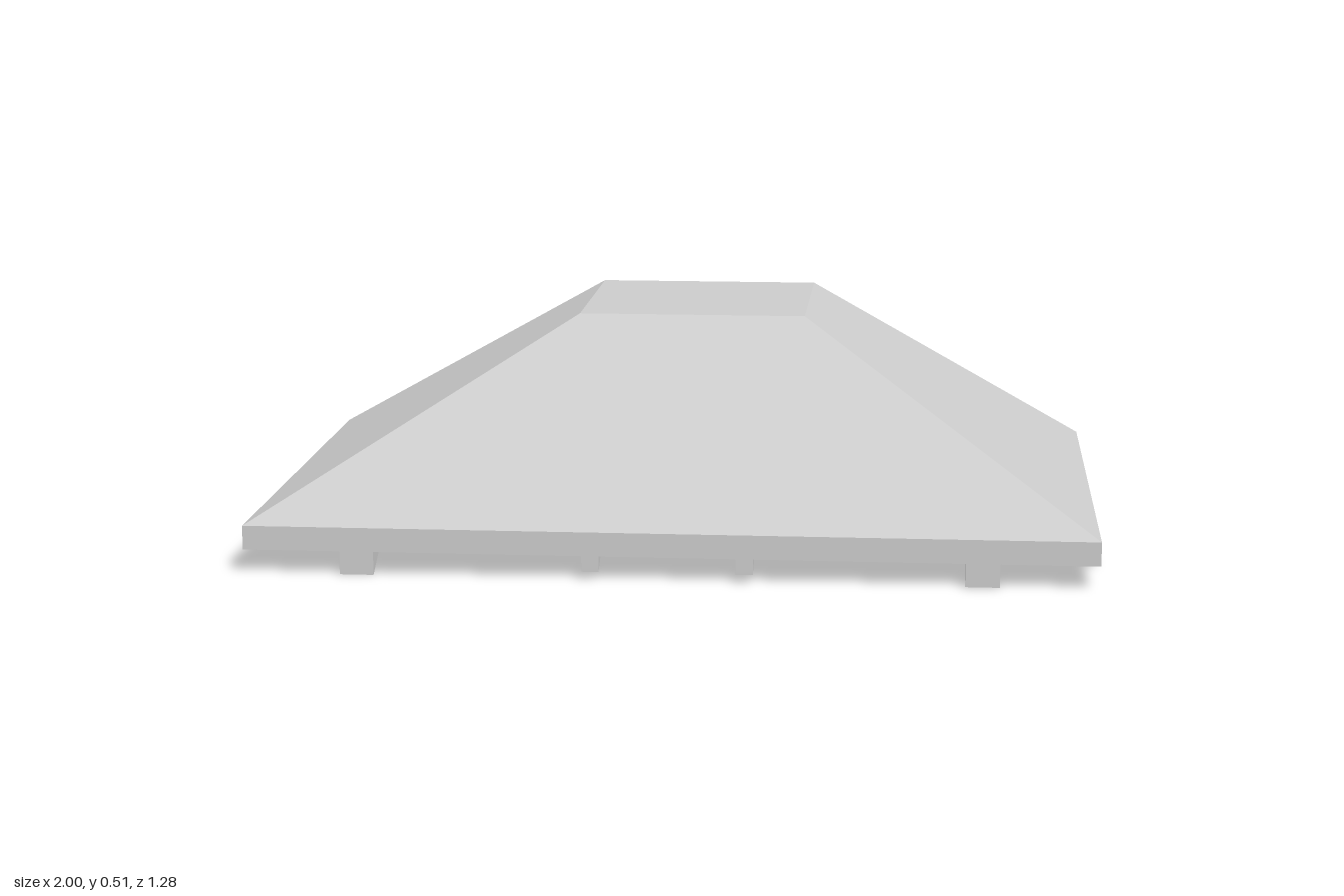
import * as THREE from 'three';

const HALF_X = 1, HALF_Z = 0.64;        // eave outline
const RIDGE_X = 0.285, RIDGE_Z = -0.07; // flat top outline
const EAVE = 0.055, TOP = 0.455;        // underside heights
const THICK = 0.057;                    // vertical shell thickness

const material = new THREE.MeshStandardMaterial({ color: 0xcccccc, flatShading: true });

function addMesh(parent, name, geometry) {
  const mesh = new THREE.Mesh(geometry, material);
  mesh.name = name;
  parent.add(mesh);
  return mesh;
}

// Hipped shell, open at the back
function shellGeometry() {
  const outline = (x, zFront, y) => [
    [-x, y, -HALF_Z], [-x, y, zFront], [x, y, zFront], [x, y, -HALF_Z],
  ];
  const eaveLow = outline(HALF_X, HALF_Z, EAVE);
  const eaveTop = outline(HALF_X, HALF_Z, EAVE + THICK);
  const ridgeLow = outline(RIDGE_X, RIDGE_Z, TOP);
  const ridgeTop = outline(RIDGE_X, RIDGE_Z, TOP + THICK);
  const pos = [];
  const quad = (a, b, c, d) => pos.push(...a, ...b, ...c, ...a, ...c, ...d);

  for (let i = 0; i < 3; i++) {
    const j = i + 1;
    quad(eaveTop[i], eaveTop[j], ridgeTop[j], ridgeTop[i]); // slope
    quad(eaveLow[j], eaveLow[i], ridgeLow[i], ridgeLow[j]); // slope underside
    quad(eaveLow[i], eaveLow[j], eaveTop[j], eaveTop[i]);   // fascia
  }
  quad(...ridgeTop);
  quad(...[...ridgeLow].reverse());

  // Rim of the open back
  const low = [eaveLow[3], ridgeLow[3], ridgeLow[0], eaveLow[0]];
  const top = [eaveTop[3], ridgeTop[3], ridgeTop[0], eaveTop[0]];
  for (let i = 0; i < 3; i++) quad(low[i], low[i + 1], top[i + 1], top[i]);

  const geometry = new THREE.BufferGeometry();
  geometry.setAttribute('position', new THREE.Float32BufferAttribute(pos, 3));
  geometry.computeVertexNormals();
  return geometry;
}

// Rafter hanging below a path of [distance, height] points
function rafterGeometry(path, width, drop) {
  const below = path.map(([u, y]) => [u, y - drop]).reverse();
  const shape = new THREE.Shape([...path, ...below].map(([u, y]) => new THREE.Vector2(u, y)));
  return new THREE.ExtrudeGeometry(shape, { depth: width, bevelEnabled: false })
    .translate(0, 0, -width / 2);
}

// Plate beam running round the three closed sides, inset from the eave
function plateRing(name, inner, outer, y0, y1) {
  const ring = new THREE.Group();
  ring.name = name;
  const w = inner - outer, h = y1 - y0, y = (y0 + y1) / 2;
  addMesh(ring, name + 'Front', new THREE.BoxGeometry(2 * (HALF_X - outer), h, w))
    .position.set(0, y, HALF_Z - (inner + outer) / 2);
  const zFront = HALF_Z - inner, zBack = -HALF_Z + 0.02;
  for (const s of [-1, 1]) {
    addMesh(ring, name + 'Side', new THREE.BoxGeometry(w, h, zFront - zBack))
      .position.set(s * (HALF_X - (inner + outer) / 2), y, (zFront + zBack) / 2);
  }
  return ring;
}

export function createModel() {
  const model = new THREE.Group();
  model.name = 'hippedRoof';
  addMesh(model, 'roofShell', shellGeometry());

  const rafters = new THREE.Group();
  rafters.name = 'rafters';
  model.add(rafters);

  // Cross rafters from side eave to side eave
  const crossPath = [[-HALF_X, EAVE], [-RIDGE_X, TOP], [RIDGE_X, TOP], [HALF_X, EAVE]];
  for (const z of [-0.17, -0.54]) {
    addMesh(rafters, 'crossRafter', rafterGeometry(crossPath, 0.04, 0.037)).position.z = z;
  }

  // Long rafters from the front eave to the open back
  const longPath = [[HALF_Z, EAVE], [RIDGE_Z, TOP], [-HALF_Z, TOP]];
  for (const x of [-0.18, 0.18]) {
    const rafter = addMesh(rafters, 'longRafter', rafterGeometry(longPath, 0.04, 0.037));
    rafter.rotation.y = -Math.PI / 2;
    rafter.position.x = x;
  }

  // Short heavy rafters meeting at the hips
  const jackSide = [[HALF_X, EAVE], [0.72, 0.212]];
  const jackFront = [[HALF_Z, EAVE], [0.36, 0.213]];
  for (const s of [-1, 1]) {
    const path = jackSide.map(([u, y]) => [s * u, y]);
    addMesh(rafters, 'sideJackRafter', rafterGeometry(path, 0.08, EAVE)).position.z = 0.37;
    const front = addMesh(rafters, 'frontJackRafter', rafterGeometry(jackFront, 0.08, EAVE));
    front.rotation.y = -Math.PI / 2;
    front.position.x = s * 0.73;
  }

  model.add(plateRing('outerPlate', 0.19, 0.11, 0.06, 0.14));
  model.add(plateRing('innerPlate', 0.29, 0.21, 0.12, 0.205));
  return model;
}
